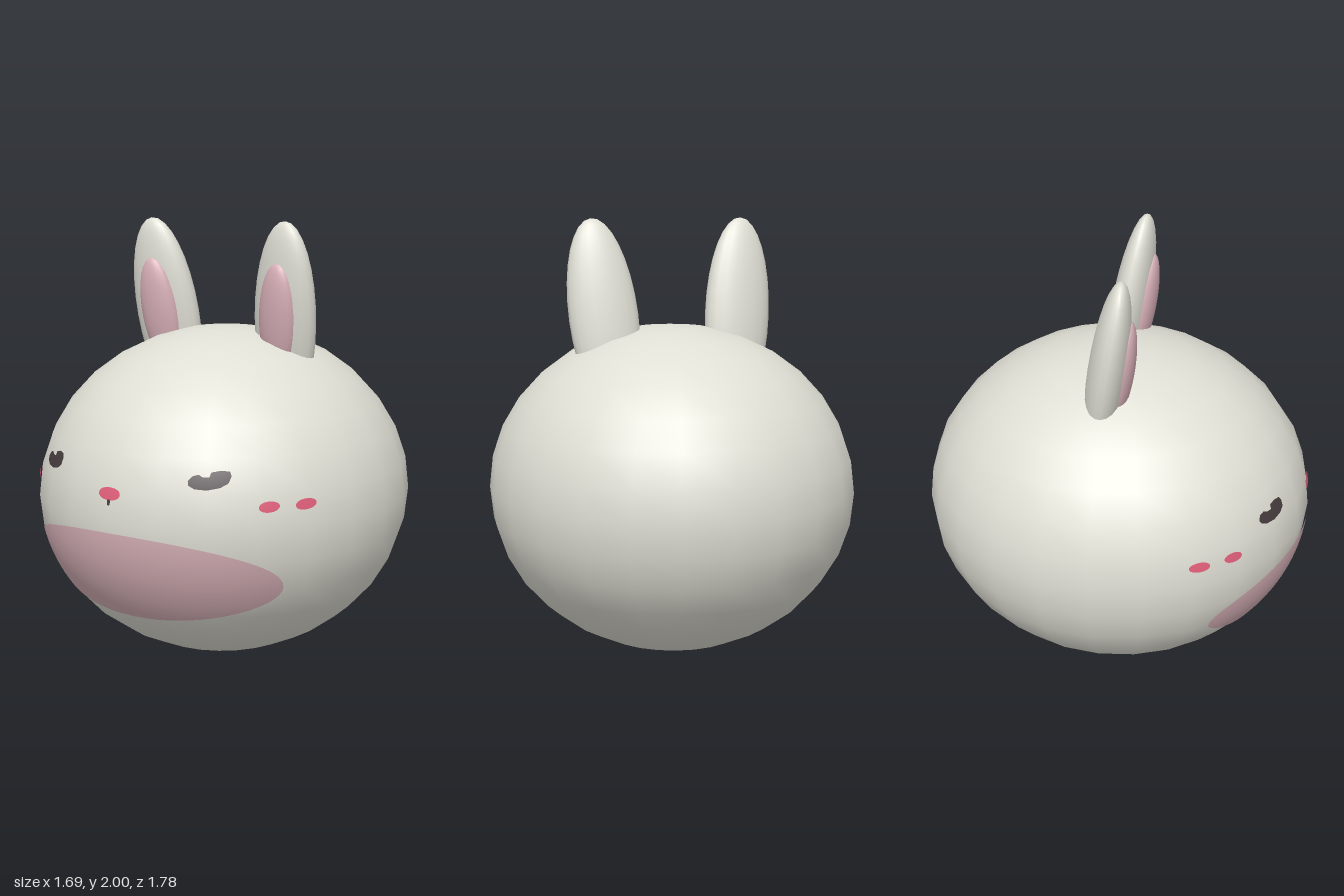
import * as THREE from 'three';

const RX = 0.845, RY = 0.757, RZ = 0.89, CY = 0.758;

const mat = (name, color) => {
  const m = new THREE.MeshStandardMaterial({ color });
  m.name = name;
  return m;
};

// Outline of an ellipse; a power above 2 makes it squarer
function oval(rx, ry, power = 2, n = 48) {
  const bend = (v) => Math.sign(v) * Math.abs(v) ** (2 / power);
  return Array.from({ length: n }, (_, i) => {
    const a = (i / n) * Math.PI * 2;
    return [rx * bend(Math.cos(a)), ry * bend(Math.sin(a))];
  });
}

// Thin patch: a counter-clockwise outline around (cx, cy), laid onto the front of the body
function patch(name, material, outline, cx, cy, rings = 3, lift = 1.003) {
  const pos = [], nor = [], idx = [], n = outline.length;
  for (let r = 0; r <= rings; r++) {
    for (const [px, py] of outline) {
      const x = cx + (px * r) / rings, y = cy + (py * r) / rings - CY;
      const z = RZ * Math.sqrt(Math.max(0, lift * lift - (x / RX) ** 2 - (y / RY) ** 2));
      pos.push(x, y + CY, z);
      nor.push(...new THREE.Vector3(x / RX ** 2, y / RY ** 2, z / RZ ** 2).normalize().toArray());
    }
  }
  for (let r = 0; r < rings; r++) {
    for (let i = 0; i < n; i++) {
      const j = (i + 1) % n, a = r * n + i, b = r * n + j, c = a + n, d = b + n;
      idx.push(a, c, d);
      if (r > 0) idx.push(a, d, b);
    }
  }
  const g = new THREE.BufferGeometry();
  g.setAttribute('position', new THREE.Float32BufferAttribute(pos, 3));
  g.setAttribute('normal', new THREE.Float32BufferAttribute(nor, 3));
  g.setIndex(idx);
  const mesh = new THREE.Mesh(g, material);
  mesh.name = name;
  return mesh;
}

function ellipsoid(name, material, radii, center, w, h) {
  const mesh = new THREE.Mesh(new THREE.SphereGeometry(1, w, h).scale(...radii), material);
  mesh.name = name;
  mesh.position.set(...center);
  return mesh;
}

export function createModel() {
  const model = new THREE.Group();
  model.name = 'roundRabbit';
  const fur = mat('warm white fur', 0xe0dfd5);
  const bellyPink = mat('dusty pink belly', 0xd6b0b6);
  const earPink = mat('inner ear pink', 0xd8b0b8);
  const rose = mat('rose', 0xe2607b);
  const dark = mat('dark brown', 0x463c3e);

  // Body
  model.add(ellipsoid('body', fur, [RX, RY, RZ], [0, CY, 0], 24, 16));

  // Ears, leaning outward and forward
  for (const s of [1, -1]) {
    const side = s > 0 ? 'left' : 'right';
    const ear = ellipsoid(side + 'Ear', fur, [0.16, 0.45, 0.085], [s * 0.322, 1.555, 0], 20, 16);
    const inner = ellipsoid(side + 'InnerEar', earPink, [0.095, 0.26, 0.056], [s * 0.32, 1.56, 0.062], 20, 16);
    for (const part of [ear, inner]) {
      part.rotation.set(0.145, -s * 0.1, -s * 0.09);
      model.add(part);
    }
  }

  // Belly patch
  model.add(patch('belly', bellyPink, oval(0.635, 0.205, 2.1, 64), 0, 0.515, 16));

  // Eyes, with a notch for the glint; both face the same way
  const eye = [
    [0.075, 0.018], [0.066, 0.036], [0.035, 0.04], [0.004, 0.033], [0, 0.014], [-0.024, 0.014],
    [-0.04, 0.024], [-0.062, 0.017], [-0.075, -0.003], [-0.07, -0.02], [-0.045, -0.034],
    [0, -0.038], [0.045, -0.028], [0.07, -0.01],
  ].map(([x, y]) => [x, y + 0.012]);
  model.add(patch('rightEye', dark, eye, -0.405, 0.956));
  model.add(patch('leftEye', dark, eye, 0.41, 0.956));

  // Nose and mouth
  model.add(patch('nose', rose, oval(0.055, 0.027, 2.1, 24), 0, 0.888));
  model.add(patch('mouth', dark, oval(0.008, 0.013, 3, 12), 0, 0.852));

  // Two blush dots on each cheek
  for (const s of [1, -1]) {
    model.add(patch('innerBlush', rose, oval(0.03, 0.023, 2, 24), s * 0.617, 0.857));
    model.add(patch('outerBlush', rose, oval(0.025, 0.023, 2, 24), s * 0.714, 0.857));
  }
  return model;
}
